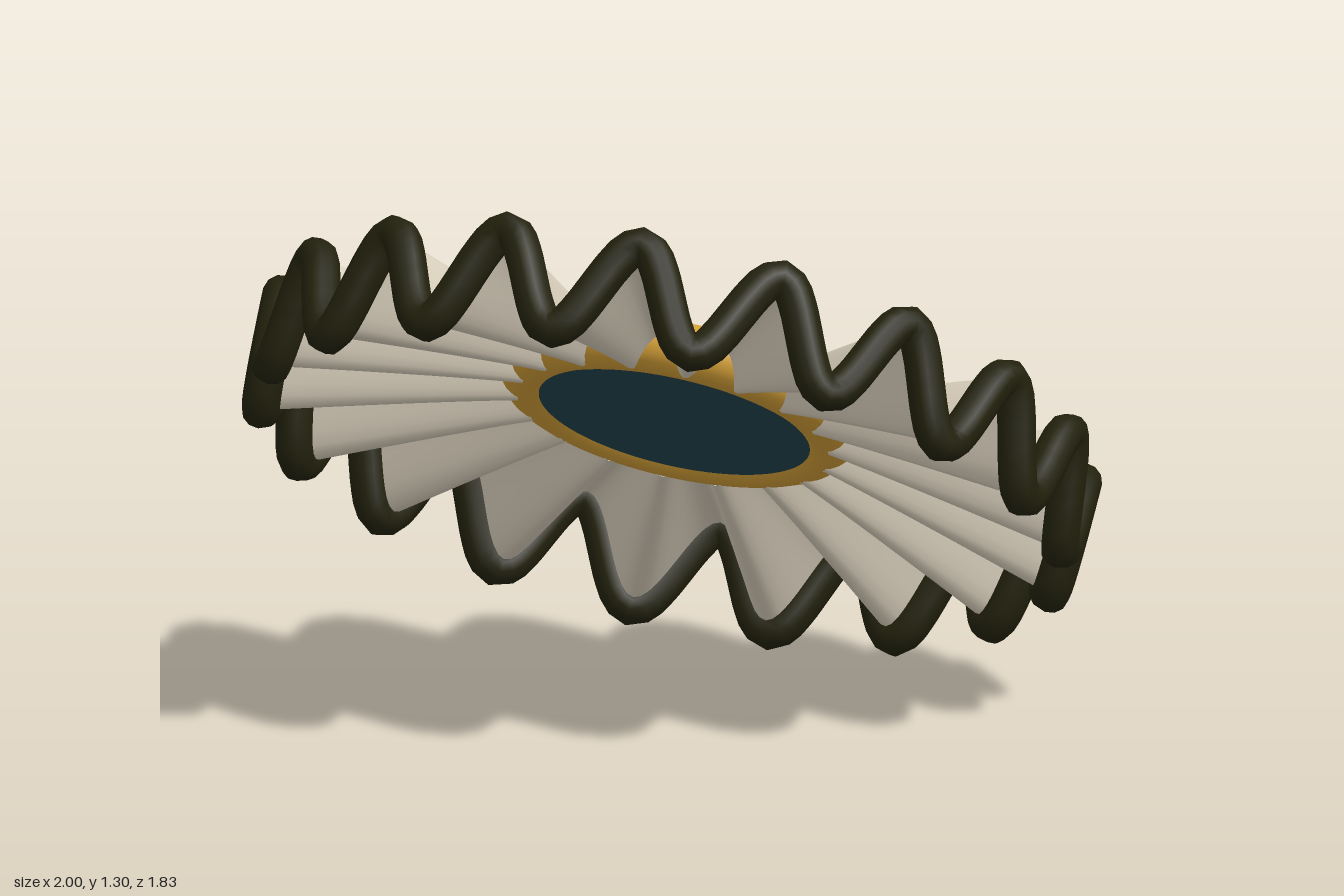
import * as THREE from 'three';
import { ParametricGeometry } from 'three/addons/geometries/ParametricGeometry.js';

const PLEATS = 18, INNER = 0.37, OUTER = 0.955, TILT = 0.558;

const material = (name, color, extra = {}) => {
  const m = new THREE.MeshStandardMaterial({ color, ...extra });
  m.name = name;
  return m;
};

// Point on the pleated cloth: s runs from hub (0) to rim (1), a is the angle
function ruffle(s, a, target) {
  const r = THREE.MathUtils.lerp(INNER, OUTER, s);
  const base = 0.052 * (1 - s);
  const depth = 0.036 + 0.081 * Math.pow(s, 1.1);
  return target.set(r * Math.cos(a), base - depth * Math.sin(PLEATS * a), r * Math.sin(a));
}

export function createModel() {
  const cream = material('cream cloth', 0xd9cfbc, { side: THREE.DoubleSide });
  const dark = material('dark trim', 0x22210d);
  const gold = material('gold', 0xd39f37);
  const teal = material('deep teal', 0x22444f);

  const model = new THREE.Group();
  model.name = 'ruffledRosette';
  const tilted = new THREE.Group();
  tilted.name = 'tiltedRosette';
  tilted.position.y = 0.655;
  tilted.rotation.x = -TILT;
  model.add(tilted);

  const add = (name, geometry, mat, y = 0) => {
    const mesh = new THREE.Mesh(geometry, mat);
    mesh.name = name;
    mesh.position.y = y;
    tilted.add(mesh);
    return mesh;
  };

  // Pleated cloth
  add('pleatedRuffle', new ParametricGeometry(
    (u, v, p) => ruffle(v, -u * Math.PI * 2, p), PLEATS * 20, 16), cream);

  // Wavy cord along the outer edge
  const edge = [];
  const steps = PLEATS * 12;
  for (let i = 0; i < steps; i++) {
    edge.push(ruffle(1, (i / steps) * Math.PI * 2, new THREE.Vector3()));
  }
  add('rimCord', new THREE.TubeGeometry(
    new THREE.CatmullRomCurve3(edge, true), PLEATS * 24, 0.045, 12, true), dark);

  // Hub ring and centre disc
  const ring = new THREE.TorusGeometry(0.36, 0.066, 20, 96);
  ring.rotateX(Math.PI / 2);
  add('hubRing', ring, gold, 0.084);
  add('centreDisc', new THREE.CylinderGeometry(0.34, 0.34, 0.035, 64), teal, 0.0475);

  return model;
}
